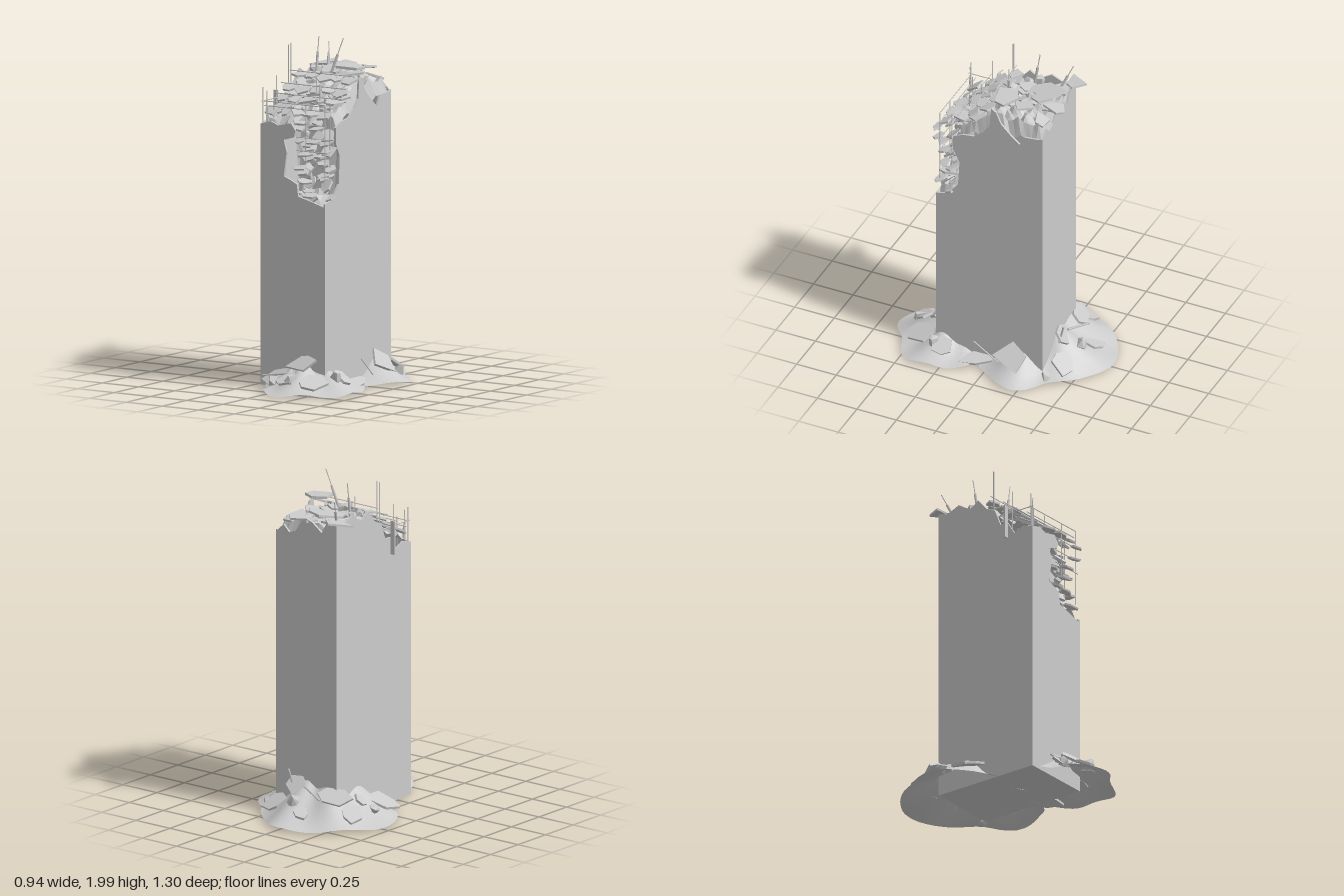
import * as THREE from 'three';
import { ConvexGeometry } from 'three/addons/geometries/ConvexGeometry.js';

const flat = new THREE.MeshStandardMaterial({ color: 0xcccccc, flatShading: true, side: THREE.DoubleSide });
const smooth = new THREE.MeshStandardMaterial({ color: 0xcccccc, side: THREE.DoubleSide });
const X0 = -0.18, X1 = 0.265, Z0 = -0.325, Z1 = 0.35, T = 0.012;

export function createModel() {
  const model = new THREE.Group();
  let seed = 7;
  const rnd = (a = 0, b = 1) => {
    seed = (seed * 16807) % 2147483647;
    return a + (b - a) * (seed / 2147483647);
  };
  const add = (name, geo, mat = flat) => {
    const m = new THREE.Mesh(geo, mat);
    m.name = name;
    model.add(m);
    return m;
  };
  const V = (x, y, z) => new THREE.Vector3(x, y, z);

  // Broken outer walls: [distance along wall, height] along the torn top edge
  const wall = (name, edge, x, z, turn) => {
    const a = edge[0][0], b = edge[edge.length - 1][0];
    const s = new THREE.Shape([[a, 0.02], [b, 0.02], ...[...edge].reverse()].map(p => new THREE.Vector2(...p)));
    const m = add(name, new THREE.ExtrudeGeometry(s, { depth: T, bevelEnabled: false }));
    m.position.set(x, 0, z);
    if (turn) m.rotation.y = Math.PI / 2;
  };
  wall('frontWall', [[X0, 1.53], [-0.11, 1.55], [-0.06, 1.53], [0.03, 1.55], [0.06, 1.51], [0.05, 1.47], [-0.02, 1.45],
    [0, 1.38], [-0.02, 1.24], [0.03, 1.22], [0.07, 1.2], [0.08, 1.13], [0.16, 1.11], [X1, 1.08]], 0, Z1 - T);
  wall('backWall', [[X0, 1.8], [-0.12, 1.81], [-0.07, 1.72], [0, 1.77], [0.06, 1.79], [0.12, 1.7], [0.17, 1.68], [0.21, 1.72], [X1, 1.67]], 0, Z0);
  wall('rightSideWall', [[-Z1, 1.1], [-0.27, 1.12], [-0.21, 1.2], [-0.2, 1.36], [-0.24, 1.44], [-0.24, 1.53], [-0.18, 1.56],
    [-0.11, 1.57], [-0.05, 1.62], [-0.01, 1.67], [0, 1.8], [0.03, 1.78], [0.06, 1.71], [0.12, 1.65], [0.18, 1.6], [0.21, 1.66],
    [0.3, 1.67], [-Z0, 1.68]], X1 - T, 0, true);
  wall('leftSideWall', [[-Z1, 1.53], [-0.28, 1.55], [-0.22, 1.52], [-0.17, 1.6], [-0.12, 1.6], [-0.08, 1.7], [-0.02, 1.73],
    [0.04, 1.8], [0.1, 1.76], [0.18, 1.81], [0.25, 1.78], [-Z0, 1.8]], X0, 0, true);
  add('towerBottom', new THREE.BoxGeometry(X1 - X0 - 0.005, 0.02, Z1 - Z0 - 0.005)).position.set((X0 + X1) / 2, 0.03, (Z0 + Z1) / 2);

  // Collapsed interior: rough surface that steps down to the open front corner
  const fillY = (x, z) => {
    if (x > 0.01 && z > 0.22) return 1.13;
    if (z < 0) return 1.74;
    return 1.74 - Math.min(z / 0.3, 1) * 0.2;
  };
  const core = new THREE.PlaneGeometry(X1 - X0 - 0.02, Z1 - Z0 - 0.02, 14, 20).rotateX(-Math.PI / 2);
  core.translate((X0 + X1) / 2, 0, (Z0 + Z1) / 2);
  const cp = core.attributes.position;
  for (let i = 0; i < cp.count; i++) {
    const x = cp.getX(i), z = cp.getZ(i);
    const edge = x > X1 - 0.03 || z < Z0 + 0.03 || (z > Z1 - 0.03 && x < 0);
    cp.setY(i, fillY(x, z) - (edge ? 0.09 : 0) + rnd(-0.025, 0.025));
  }
  add('collapsedInterior', core);

  // Irregular flat concrete piece
  const shard = (name, x, y, z, size, rx, ry, rz, thick = 0.012, stretch = 1) => {
    const n = 4 + Math.floor(rnd(0, 3)), pts = [];
    for (let i = 0; i < n; i++) {
      const a = (i + rnd(-0.25, 0.25)) / n * Math.PI * 2, r = size * rnd(0.7, 1.15);
      pts.push(new THREE.Vector2(Math.cos(a) * r * stretch, Math.sin(a) * r / stretch));
    }
    const g = new THREE.ExtrudeGeometry(new THREE.Shape(pts), { depth: thick, bevelEnabled: false });
    const m = add(name, g.rotateX(-Math.PI / 2));
    m.position.set(x, y, z);
    m.rotation.set(rx, ry, rz);
  };
  const rock = (x, y, z, r) => {
    const pts = [];
    for (let i = 0; i < 12; i++) {
      pts.push(V(rnd(-1, 1), rnd(-1, 1), rnd(-1, 1)).normalize().multiply(V(r, r * 1.1, r)));
    }
    add('rubbleRock', new ConvexGeometry(pts)).position.set(x, y, z);
  };
  const bar = (name, a, b, r = 0.003) => {
    const d = b.clone().sub(a);
    const m = add(name, new THREE.CylinderGeometry(r, r, d.length(), 5), smooth);
    m.position.copy(a).addScaledVector(d, 0.5);
    m.quaternion.setFromUnitVectors(V(0, 1, 0), d.normalize());
  };

  // Rubble slabs on the roof
  for (let i = 0; i < 34; i++) {
    const x = rnd(X0 + 0.05, X1 - 0.05), z = rnd(Z0 + 0.05, 0.26);
    if (x > 0 && z > 0.2) continue;
    shard('roofSlab', x, fillY(x, z) + rnd(0.005, 0.04), z, rnd(0.04, 0.075), rnd(-0.1, 0.5), rnd(0, 6), rnd(-0.35, 0.35));
  }
  shard('roofPlate', 0.18, 1.83, -0.05, 0.1, 0.05, 0.4, -0.06, 0.015);
  shard('roofPlate', -0.02, 1.79, -0.2, 0.12, 0.1, 1, 0.1);
  shard('roofPlate', -0.1, 1.62, 0.2, 0.09, 0.4, 0.5, 0.1);
  shard('roofPlate', -0.18, 1.79, -0.32, 0.08, 0.1, 0.4, 0.1, 0.012, 1.2);
  shard('roofPlate', 0.1, 1.79, -0.33, 0.07, -0.2, 0.2, 0.1);
  for (const [x, z] of [[0.01, -0.02], [-0.04, 0.04], [0.16, 0.19], [-0.13, -0.12], [0.05, -0.15]])
    rock(x, fillY(x, z) + 0.04, z, 0.034);

  // Torn storeys showing in the broken front corner
  for (let i = 0; i < 6; i++) {
    const y = 1.14 + i * 0.078;
    for (let k = 0; k < 5; k++) {
      const x = rnd(i < 2 ? 0.11 : 0.03, 0.24);
      shard('tornFloor', x, y + rnd(-0.03, 0.03), rnd(0.24, 0.31), rnd(0.035, 0.055), rnd(0.2, 0.9), rnd(0, 6), rnd(-0.4, 0.4));
    }
    shard('hangingPiece', rnd(0.1, 0.22), y, 0.36, 0.042, 0.3, 0, rnd(-0.25, 0.25), 0.01, 1.2);
    rock(rnd(0.05, 0.22), y + 0.03, 0.28, 0.03);
    if (i > 2) bar('cornerBar', V(0.06, y + 0.02, 0.335), V(X1, y + 0.02, 0.335));
  }
  // Floor edges and debris between the upper columns
  for (const [y, z] of [[1.6, 0.29], [1.66, 0.19], [1.71, 0.12], [1.77, 0.03]]) {
    for (let k = 0; k < 5; k++)
      shard('floorEdge', -0.13 + k * 0.087, y, z, rnd(0.04, 0.065), rnd(0.1, 0.6), rnd(0, 6), rnd(-0.2, 0.2));
    bar('floorBar', V(X0, y + 0.03, z + 0.02), V(X1, y + 0.03, z + 0.02));
  }
  const hook = add('hangingPanel', new THREE.BoxGeometry(0.028, 0.2, 0.012));
  hook.position.set(-0.195, 1.6, 0.17);

  // Reinforcing bars: thin upright rods and thicker sleeved ones
  for (const [x, y0, y1, z] of [[-0.172, 1.5, 1.74, 0.335], [-0.15, 1.5, 1.66, 0.335], [-0.172, 1.5, 1.79, 0.2],
    [0.07, 1.5, 1.8, 0.15], [0.13, 1.3, 1.75, 0.2], [0.25, 1.2, 1.66, 0.33], [0.24, 1.3, 1.67, 0.26], [0.12, 1.3, 1.66, 0.33],
    [-0.165, 1.7, 1.96, 0.06], [-0.175, 1.7, 1.95, 0.07], [-0.12, 1.5, 1.68, 0.3], [0.26, 1.5, 1.8, 0.0]])
    bar('uprightBar', V(x, y0, z), V(x, y1, z));
  for (const [a, b] of [[V(0.05, 1.76, -0.01), V(0.125, 2, -0.045)], [V(-0.1, 1.76, -0.1), V(-0.105, 1.98, -0.135)],
    [V(-0.12, 1.76, -0.25), V(-0.16, 1.92, -0.32)], [V(-0.15, 1.5, 0.32), V(-0.15, 1.72, 0.33)]]) {
    bar('bentBar', a, b);
    bar('barSleeve', a, a.clone().lerp(b, 0.6), 0.008);
  }
  for (const z of [0.12, 0.2, 0.33]) bar('sideBar', V(0.255, 1.66, z), V(X0, 1.66, z));
  bar('sideBar', V(-0.172, 1.66, 0.35), V(-0.172, 1.66, 0.1));

  // Ground mounds: polar outline radii every 30 degrees, sloping from a centre
  const mounds = [
    { c: [0, -0.2], h: 0.3, r: [0.47, 0.42, 0.36, 0.3, 0.35, 0.42, 0.47, 0.42, 0.43, 0.45, 0.38, 0.37] },
    { c: [0.12, 0.28], h: 0.19, r: [0.32, 0.37, 0.32, 0.37, 0.31, 0.26, 0.29, 0.3, 0.25, 0.25, 0.25, 0.31] }];
  const radius = (m, a) => {
    const k = ((a / (Math.PI * 2)) % 1 + 1) % 1 * 12, i = Math.floor(k), f = k - i;
    return m.r[i] + (m.r[(i + 1) % 12] - m.r[i]) * f * f * (3 - 2 * f);
  };
  const slope = (m, t, a) => 0.02 + m.h * Math.pow(Math.max(1 - t, 0), 1.25) * (1 + 0.22 * Math.sin(a * 5 + 1) * t * 2)
    + 0.008 * Math.sin(a * 7) * t;
  const groundY = (x, z) => Math.max(...mounds.map(m => {
    const dx = x - m.c[0], dz = z - m.c[1], a = Math.atan2(dz, dx);
    return slope(m, Math.hypot(dx, dz) / radius(m, a), a);
  }));
  for (const m of mounds) {
    const R = 10, N = 60, pos = [], idx = [];
    for (let i = 0; i <= R; i++) for (let j = 0; j < N; j++) {
      const a = j / N * Math.PI * 2, t = i / R, r = radius(m, a) * t;
      pos.push(m.c[0] + Math.cos(a) * r, slope(m, t, a), m.c[1] + Math.sin(a) * r);
      if (i === R) continue;
      const p = i * N + j, q = i * N + (j + 1) % N;
      idx.push(p, q, p + N, q, q + N, p + N);
    }
    const g = new THREE.BufferGeometry();
    g.setAttribute('position', new THREE.Float32BufferAttribute(pos, 3));
    g.setIndex(idx);
    g.computeVertexNormals();
    add('rubbleMound', g, smooth);
  }

  // Fallen slabs, rocks and rods on the mounds: x, z, size, tilts
  for (const [x, z, s, rx, rz, st] of [[-0.29, -0.04, 0.1, 0, 0.35, 1], [-0.29, -0.33, 0.08, -0.4, 0.4, 1], [0.19, -0.42, 0.08, -0.5, -0.2, 1],
    [0.33, -0.15, 0.1, 0.2, -0.9, 1], [0.25, 0.45, 0.09, 0.4, -0.3, 1], [0.12, 0.38, 0.09, 0.7, 0.1, 1.2], [0.1, 0.5, 0.06, 0.4, 0.1, 1],
    [0, 0.42, 0.07, 0.9, 0, 1.5], [0.34, 0.27, 0.06, 0, -0.7, 1], [0.3, 0.08, 0.08, 0.1, -0.3, 0.8], [-0.06, -0.5, 0.06, -0.3, 0.2, 1],
    [0.08, -0.36, 0.08, -1, 0.2, 1], [-0.18, -0.34, 0.09, -0.7, 0.3, 1.2], [-0.25, -0.2, 0.05, 0, 0.8, 1], [0.03, 0.4, 0.06, 0.5, 0.4, 1]])
    shard('fallenSlab', x, groundY(x, z) + 0.012, z, s, rx, 0.3, rz, 0.014, st);
  for (const [x, z] of [[0.03, -0.46], [0.3, -0.35], [-0.34, -0.18], [0.13, 0.51], [0.33, 0.33], [-0.02, 0.45]])
    rock(x, groundY(x, z) + 0.015, z, 0.038);
  bar('fallenRod', V(0.31, 0.04, -0.1), V(0.33, 0.18, 0.08), 0.004);
  bar('fallenRod', V(-0.14, 0.16, -0.43), V(0.02, 0.2, -0.37), 0.007);
  bar('fallenRod', V(0.1, 0.1, -0.34), V(0.12, 0.29, -0.39), 0.006);
  bar('fallenRod', V(-0.11, 0.09, 0.43), V(0.1, 0.12, 0.42), 0.006);
  return model;
}
